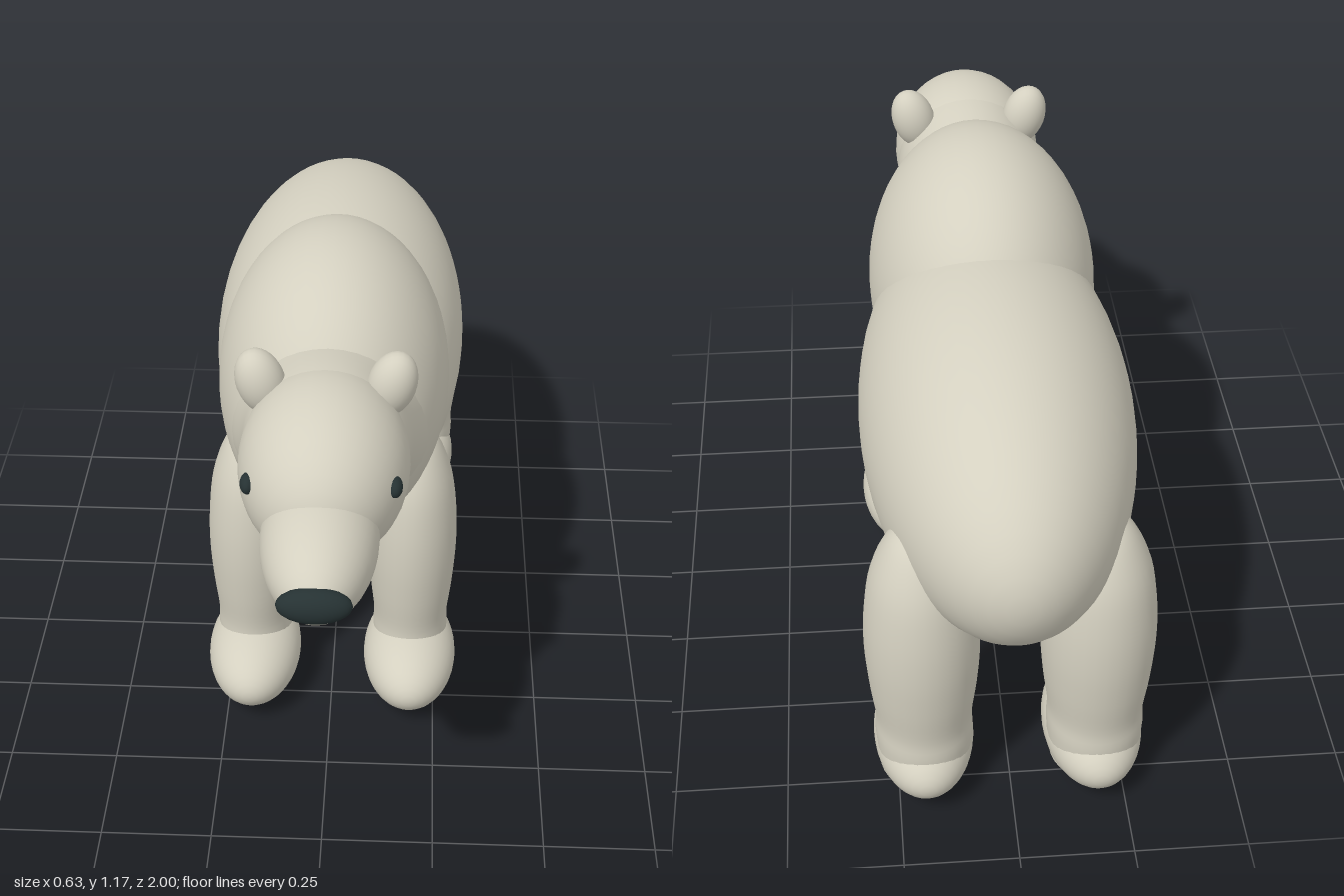
import * as THREE from 'three';
import { mergeVertices } from 'three/addons/utils/BufferGeometryUtils.js';

export function createModel() {
  const fur = new THREE.MeshStandardMaterial({ color: 0xd4d0c0 });
  fur.name = 'fur';
  const dark = new THREE.MeshStandardMaterial({ color: 0x263233 });
  dark.name = 'noseAndEyes';

  const model = new THREE.Group();
  model.name = 'bear';

  const add = (name, geometry, material, parent = model) => {
    const mesh = new THREE.Mesh(geometry, material);
    mesh.name = name;
    parent.add(mesh);
    return mesh;
  };

  // Ellipsoid with its poles along z, given centre and radii
  const ellipsoid = (name, [x, y, z], [rx, ry, rz], material = fur, tilt = 0, detail = 40) => {
    const g = new THREE.SphereGeometry(1, detail, detail / 2);
    g.rotateX(Math.PI / 2).scale(rx, ry, rz).rotateZ(tilt);
    const mesh = add(name, g, material);
    mesh.position.set(x, y, z);
    return mesh;
  };

  // Trunk
  ellipsoid('body', [0, 0.71, -0.33], [0.305, 0.342, 0.67], fur, 0, 56);
  ellipsoid('shoulders', [0, 0.82, 0.07], [0.265, 0.355, 0.405], fur, 0, 56);

  // Neck: tapered rings [z, centre y, half width, half height]
  const rings = [
    [0.2, 0.78, 0.235, 0.27],
    [0.3, 0.81, 0.218, 0.24],
    [0.4, 0.857, 0.187, 0.212],
    [0.5, 0.89, 0.176, 0.19],
    [0.6, 0.9, 0.165, 0.178],
  ];
  const centres = new THREE.CatmullRomCurve3(rings.map(([z, y]) => new THREE.Vector3(0, y, z)));
  const radii = new THREE.CatmullRomCurve3(rings.map(([, , rx, ry]) => new THREE.Vector3(rx, ry, 0)));
  let neck = new THREE.CylinderGeometry(1, 1, 1, 40, 12, true).rotateX(Math.PI / 2);
  const pos = neck.attributes.position;
  for (let i = 0; i < pos.count; i++) {
    const t = THREE.MathUtils.clamp(pos.getZ(i) + 0.5, 0, 1);
    const c = centres.getPoint(t);
    const r = radii.getPoint(t);
    pos.setXYZ(i, pos.getX(i) * r.x, c.y + pos.getY(i) * r.y, c.z);
  }
  neck.deleteAttribute('uv');
  neck.deleteAttribute('normal');
  neck = mergeVertices(neck, 1e-4);
  neck.computeVertexNormals();
  add('neck', neck, fur);

  // Head
  ellipsoid('head', [0, 0.9, 0.555], [0.18, 0.188, 0.25]);
  ellipsoid('muzzle', [0, 0.845, 0.74], [0.121, 0.116, 0.24]);
  ellipsoid('nose', [0, 0.852, 0.967], [0.075, 0.038, 0.033], dark, 0, 24);

  // Leg outline: radius factor and height
  const outline = new THREE.SplineCurve([
    [0.8, 0.06], [0.86, 0.15], [0.85, 0.21], [0.94, 0.3], [1, 0.4], [0.98, 0.5],
    [0.86, 0.6], [0.6, 0.68], [0.32, 0.72], [0, 0.735],
  ].map(([r, y]) => new THREE.Vector2(r, y))).getPoints(36);
  outline[outline.length - 1].x = 0;

  const leg = (name, side, x, z, rx, rz, pawZ) => {
    const g = new THREE.LatheGeometry(outline, 32).scale(rx, 1, rz);
    add(name + 'Leg', g, fur).position.set(side * x, 0, z);
    ellipsoid(name + 'Paw', [side * 0.19, 0.1, pawZ], [0.112, 0.098, 0.195]);
  };

  for (const [label, side] of [['left', 1], ['right', -1]]) {
    ellipsoid(label + 'Ear', [side * 0.137, 1.04, 0.462], [0.052, 0.076, 0.05], fur, -side * 0.3, 28);
    ellipsoid(label + 'Eye', [side * 0.149, 0.932, 0.68], [0.016, 0.021, 0.027], dark, 0, 20);
    leg(label + 'Front', side, 0.19, 0.153, 0.105, 0.133, 0.195);
    leg(label + 'Hind', side, 0.19, -0.735, 0.125, 0.14, -0.69);
  }

  return model;
}
